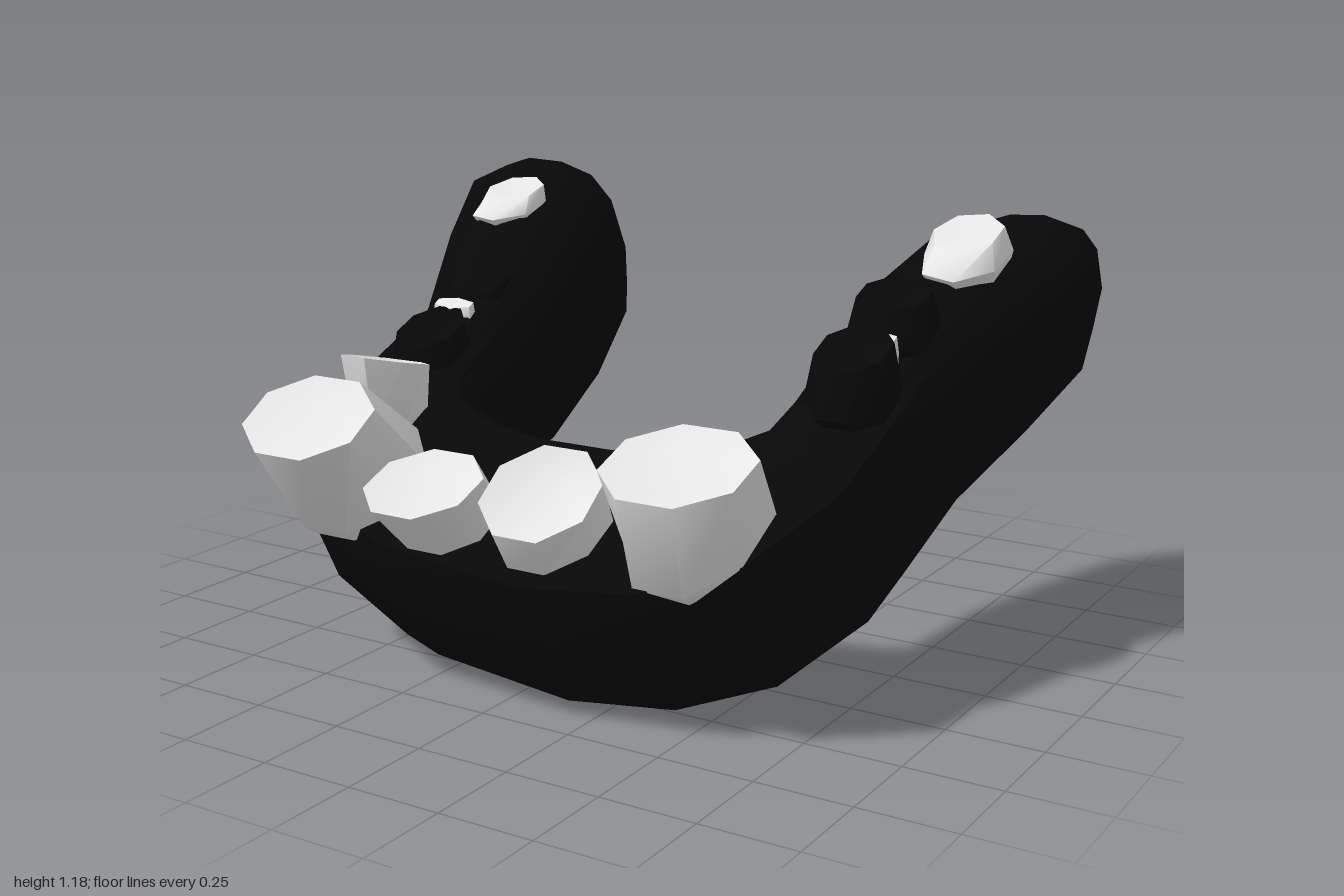
import * as THREE from 'three';
import { toCreasedNormals } from 'three/addons/utils/BufferGeometryUtils.js';

// Skin over rings with equal point counts. A trough is open along its underside
// and capped at both ends; otherwise the rings close and only the last is capped.
function loft(rings, trough) {
  const n = rings[0].length;
  const index = [];
  for (let s = 0; s < rings.length - 1; s++) {
    for (let i = 0; i < (trough ? n - 1 : n); i++) {
      const j = (i + 1) % n;
      const a = s * n + i, b = s * n + j, c = a + n, d = b + n;
      index.push(a, c, b, b, c, d);
    }
  }
  const last = (rings.length - 1) * n;
  for (let i = 1; i < n - 1; i++) {
    if (trough) index.push(0, i, i + 1);
    index.push(last, last + i + 1, last + i);
  }
  const geometry = new THREE.BufferGeometry();
  geometry.setAttribute('position', new THREE.Float32BufferAttribute(rings.flat(2), 3));
  geometry.setIndex(index);
  return toCreasedNormals(geometry, 0.85);
}

// Tilted jaw plane: p runs back along the slope, q rises at right angles to it
const onSlope = (x, p, q) => [x, 0.461 * p + 0.887 * q, 0.58 - 0.887 * p + 0.461 * q];

// Stations round the arch: outer x, outer p, inner x, inner p, underside q, crest q
const STATIONS = [
  [-0.88, 1.70, -0.66, 1.70, 0.11, 0.40],
  [-0.98, 1.63, -0.55, 1.62, 0.05, 0.49],
  [-1.00, 1.50, -0.50, 1.52, 0.01, 0.54],
  [-0.90, 1.22, -0.44, 1.22, 0, 0.54],
  [-0.79, 0.92, -0.43, 0.92, 0, 0.49],
  [-0.81, 0.62, -0.43, 0.66, 0, 0.46],
  [-0.79, 0.40, -0.40, 0.61, 0, 0.44],
  [-0.65, 0.14, -0.28, 0.56, 0, 0.42],
  [-0.32, 0.00, -0.15, 0.54, 0, 0.42],
  [0.14, -0.05, 0.06, 0.54, 0, 0.42],
  [0.44, 0.00, 0.20, 0.55, 0, 0.42],
  [0.66, 0.15, 0.35, 0.59, 0, 0.42],
  [0.79, 0.43, 0.46, 0.66, 0, 0.44],
  [0.81, 0.62, 0.48, 0.76, 0, 0.46],
  [0.84, 0.92, 0.49, 0.95, 0, 0.49],
  [0.93, 1.22, 0.50, 1.25, 0, 0.50],
  [1.00, 1.49, 0.53, 1.50, 0.01, 0.46],
  [0.97, 1.66, 0.62, 1.64, 0.05, 0.40],
  [0.88, 1.74, 0.72, 1.72, 0.11, 0.32],
];

// Gum cross-section: [share of width, share of height] at the square front,
// then the same on the rounded arms
const SECTION = [
  [0.10, 0, 0.10, 0], [0, 0.3, 0, 0.33], [0, 0.75, 0, 0.70], [0.05, 1, 0.09, 0.88],
  [0.35, 1, 0.38, 1], [0.68, 1, 0.66, 0.99], [0.92, 0.96, 0.89, 0.90], [1, 0.86, 1, 0.70],
  [0.80, 0.4, 1, 0.3], [0.62, 0, 0.92, 0],
];

function gumGeometry() {
  return loft(STATIONS.map(([ox, op, ix, ip, q0, q1]) => {
    const arm = THREE.MathUtils.smoothstep((op + ip) / 2, 0.35, 0.95);
    return SECTION.map(([tf, hf, ta, ha]) => {
      const t = tf + (ta - tf) * arm;
      const h = hf + (ha - hf) * arm;
      return onSlope(ox + (ix - ox) * t, op + (ip - op) * t, q0 + (q1 - q0) * h);
    });
  }), true);
}

// Faceted tooth: gum line and top are [front z, front y, back z, back y];
// the narrower root sinks a little below the gum line
function toothGeometry(x, rBase, rTop, base, top, dish = 0.015, sides = 8) {
  const ring = (r, [fz, fy, bz, by], shrink = 1, sink = 0) =>
    Array.from({ length: sides }, (_, i) => {
      const a = ((i + 0.5) / sides) * Math.PI * 2;
      const k = shrink / Math.cos(Math.PI / sides);
      return [
        x + r * Math.cos(a) * k,
        (fy + by) / 2 + ((fy - by) / 2) * Math.sin(a) * k - sink * 0.887,
        (fz + bz) / 2 + ((fz - bz) / 2) * Math.sin(a) * k - sink * 0.461,
      ];
    });
  return loft([ring(rBase, base, 0.85, 0.05), ring(rBase, base), ring(rTop, top), ring(rTop, top, 0.55, dish)], false);
}

export function createModel() {
  const gumBlack = new THREE.MeshStandardMaterial({ color: 0x080808, side: THREE.DoubleSide });
  const enamel = new THREE.MeshStandardMaterial({ color: 0xe6e6e6 });
  const model = new THREE.Group();
  model.name = 'lowerJaw';

  const add = (name, geometry, material) => {
    const mesh = new THREE.Mesh(geometry, material);
    mesh.name = name;
    model.add(mesh);
  };

  add('gum', gumGeometry(), gumBlack);

  // Front teeth, leaning forward
  add('rightCanine', toothGeometry(-0.485, 0.165, 0.175,
    [0.75, 0.39, 0.45, 0.60], [0.91, 0.62, 0.68, 0.77]), enamel);
  add('rightIncisor', toothGeometry(-0.17, 0.125, 0.145,
    [0.75, 0.39, 0.53, 0.50], [0.87, 0.51, 0.62, 0.61]), enamel);
  add('leftIncisor', toothGeometry(0.13, 0.125, 0.15,
    [0.74, 0.38, 0.47, 0.51], [0.79, 0.48, 0.57, 0.65], 0.03), enamel);
  add('leftCanine', toothGeometry(0.485, 0.16, 0.18,
    [0.73, 0.39, 0.34, 0.59], [0.79, 0.62, 0.49, 0.73]), enamel);

  // Right premolar, hollowed between its cusps
  add('rightPremolar', toothGeometry(-0.575, 0.09, 0.105,
    [0.46, 0.59, 0.27, 0.65], [0.49, 0.78, 0.27, 0.73], 0.04, 7), enamel);

  // Back molars
  add('rightMolar', toothGeometry(-0.685, 0.095, 0.08,
    [-0.235, 1.05, -0.455, 1.10], [-0.29, 1.10, -0.45, 1.15], 0.005, 7), enamel);
  add('leftMolar', toothGeometry(0.755, 0.105, 0.085,
    [-0.23, 1.00, -0.49, 1.08], [-0.28, 1.07, -0.45, 1.14], 0.005, 7), enamel);

  // Dark stumps on each arm, with a sliver of enamel between them
  for (const [side, x, drop] of [['right', -0.61, 0.08], ['left', 0.68, 0]]) {
    add(side + 'FrontStump', toothGeometry(x, 0.11, 0.09,
      [0.25, 0.72 - drop, 0.03, 0.82 - drop], [0.23, 0.84 - drop, 0.05, 0.92 - drop], 0.03), gumBlack);
    add(side + 'RearStump', toothGeometry(x, 0.11, 0.09,
      [0.02, 0.84 - drop, -0.19, 0.94 - drop], [-0.01, 0.95 - drop, -0.16, 1.01 - drop], 0.03), gumBlack);
    add(side + 'EnamelSliver', toothGeometry(x, 0.065, 0.06,
      [0.055, 0.84 - drop / 2, 0.01, 0.86 - drop / 2], [0.05, 0.88 - drop / 2, 0.015, 0.90 - drop / 2], 0, 6), enamel);
  }
  return model;
}
